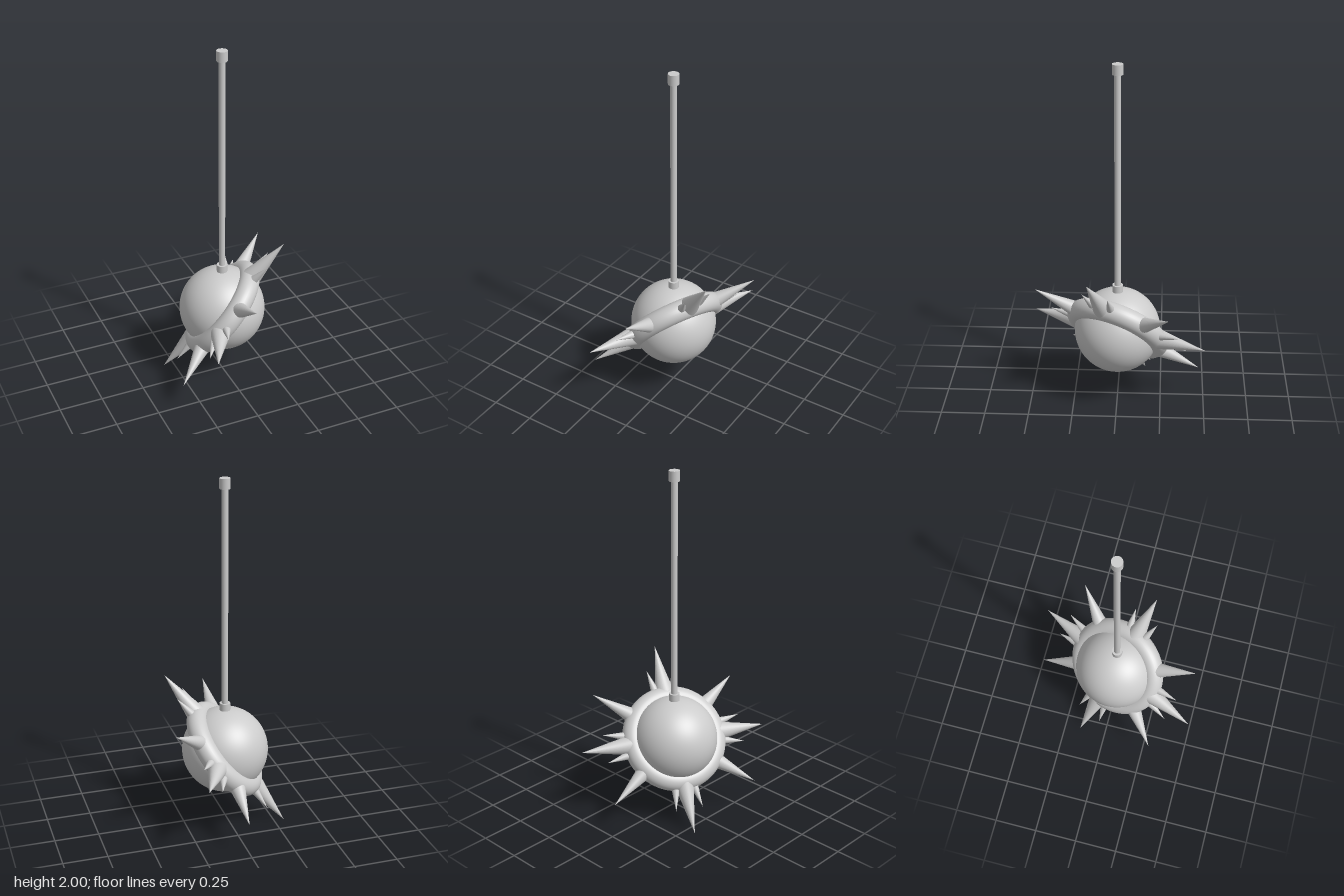
import * as THREE from 'three';

const R = 0.245;        // ball radius, also the ring's major radius
const CENTER_Y = 0.43;

export function createModel() {
  const model = new THREE.Group();
  model.name = 'spikedPendant';
  const grey = new THREE.MeshStandardMaterial({ color: 0xcccccc });

  const add = (parent, name, geometry, x = 0, y = 0, z = 0) => {
    const mesh = new THREE.Mesh(geometry, grey);
    mesh.name = name;
    mesh.position.set(x, y, z);
    parent.add(mesh);
    return mesh;
  };

  // Hanging rod with a collar at each end
  add(model, 'rod', new THREE.CylinderGeometry(0.018, 0.018, 1.3, 24), 0, 1.33, 0);
  add(model, 'topCap', new THREE.CylinderGeometry(0.03, 0.03, 0.057, 24), 0, 1.9715, 0);
  add(model, 'lowerCollar', new THREE.CylinderGeometry(0.03, 0.03, 0.055, 24), 0, 0.688, 0);

  // Ball
  add(model, 'ball', new THREE.SphereGeometry(R, 64, 48), 0, CENTER_Y, 0);

  // Tilted frame for the ring: its axis is local z, the first spike is local x
  const axis = new THREE.Vector3(0.705, -0.627, 0.332).normalize();
  const first = new THREE.Vector3(0.437, 0.014, -0.9);
  first.addScaledVector(axis, -first.dot(axis)).normalize();
  const second = new THREE.Vector3().crossVectors(axis, first);
  const band = new THREE.Group();
  band.name = 'spikedBand';
  band.position.y = CENTER_Y;
  band.quaternion.setFromRotationMatrix(new THREE.Matrix4().makeBasis(first, second, axis));
  model.add(band);

  add(band, 'ring', new THREE.TorusGeometry(R, 0.06, 32, 96));

  // Spikes point outward from the ring's centre line
  const spike = (name, degrees, tip, radius) => {
    const a = THREE.MathUtils.degToRad(degrees);
    const height = tip - R;
    const mid = R + height / 2;
    const mesh = add(band, name, new THREE.ConeGeometry(radius, height, 32),
      Math.cos(a) * mid, Math.sin(a) * mid, 0);
    mesh.rotation.z = a - Math.PI / 2;
  };

  // Four long spikes, each flanked by two short ones
  for (const a of [0, 90, 180, 270]) {
    spike('longSpike', a, 0.552, 0.06);
    for (const side of [-1, 1]) spike('shortSpike', a + side * 11, 0.422, 0.033);
  }
  // Four medium spikes between them
  for (const a of [37, 143, 217, 323]) spike('mediumSpike', a, 0.53, 0.05);

  return model;
}
